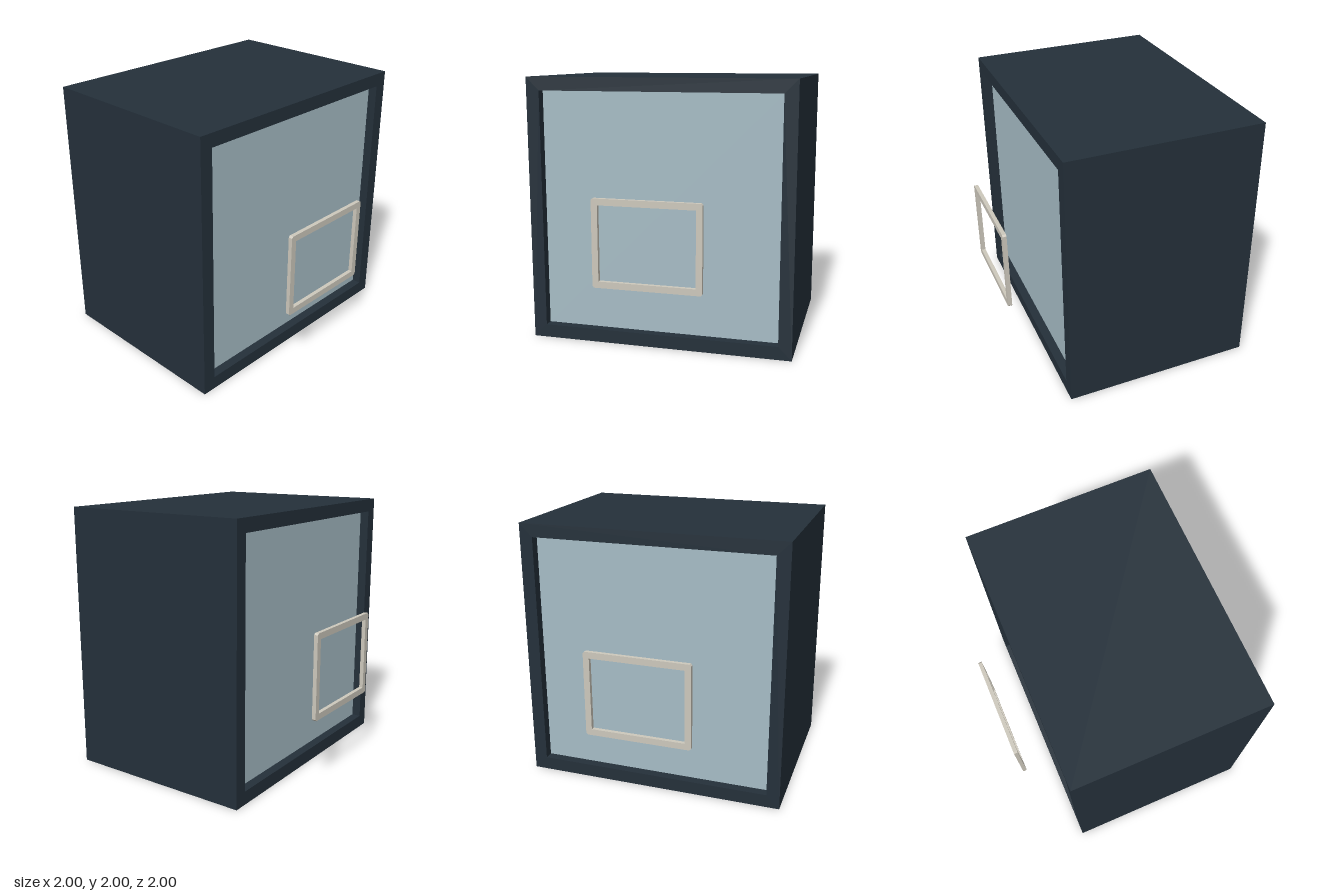
import * as THREE from 'three';

// Rectangle outline with optional cut corners, centred on (0, cy)
function outline(Target, w, h, cy, cut = 0) {
  const x = w / 2, y = h / 2;
  const pts = cut
    ? [[-x + cut, -y], [x - cut, -y], [x, -y + cut], [x, y - cut], [x - cut, y], [-x + cut, y], [-x, y - cut], [-x, -y + cut]]
    : [[-x, -y], [x, -y], [x, y], [-x, y]];
  return new Target(pts.map(([a, b]) => new THREE.Vector2(a, b + cy)));
}

// Rectangular ring extruded along x and centred on x = 0
function ring(outer, inner, depth) {
  outer.holes.push(inner);
  const geo = new THREE.ExtrudeGeometry(outer, { depth, bevelEnabled: false });
  return geo.translate(0, 0, -depth / 2).rotateY(Math.PI / 2);
}

export function createModel() {
  const casing = new THREE.MeshStandardMaterial({ name: 'dark casing', color: 0x24303a });
  const panel = new THREE.MeshStandardMaterial({ name: 'pale blue panel', color: 0xa6bcc5 });
  const trim = new THREE.MeshStandardMaterial({ name: 'warm grey trim', color: 0xcdc8bc });

  const model = new THREE.Group();
  model.name = 'model';
  const add = (name, geo, mat, x = 0, y = 0) => {
    const mesh = new THREE.Mesh(geo, mat);
    mesh.name = name;
    mesh.position.set(x, y, 0);
    model.add(mesh);
  };

  // Casing, open on both sides
  add('casing', ring(outline(THREE.Shape, 2, 2, 1), outline(THREE.Path, 1.8, 1.8, 1), 1.46), casing);

  // Core whose two sides form the recessed panels
  add('recessedPanels', new THREE.BoxGeometry(1.32, 1.8, 1.8), panel, 0, 1);

  // Floating rectangular frames beside each panel
  for (const [name, side] of [['leftFrame', 1], ['rightFrame', -1]]) {
    const geo = ring(
      outline(THREE.Shape, 0.806, 0.65, 0.845, 0.012),
      outline(THREE.Path, 0.714, 0.554, 0.845), 0.03);
    add(name, geo, trim, side * 0.985);
  }
  return model;
}
